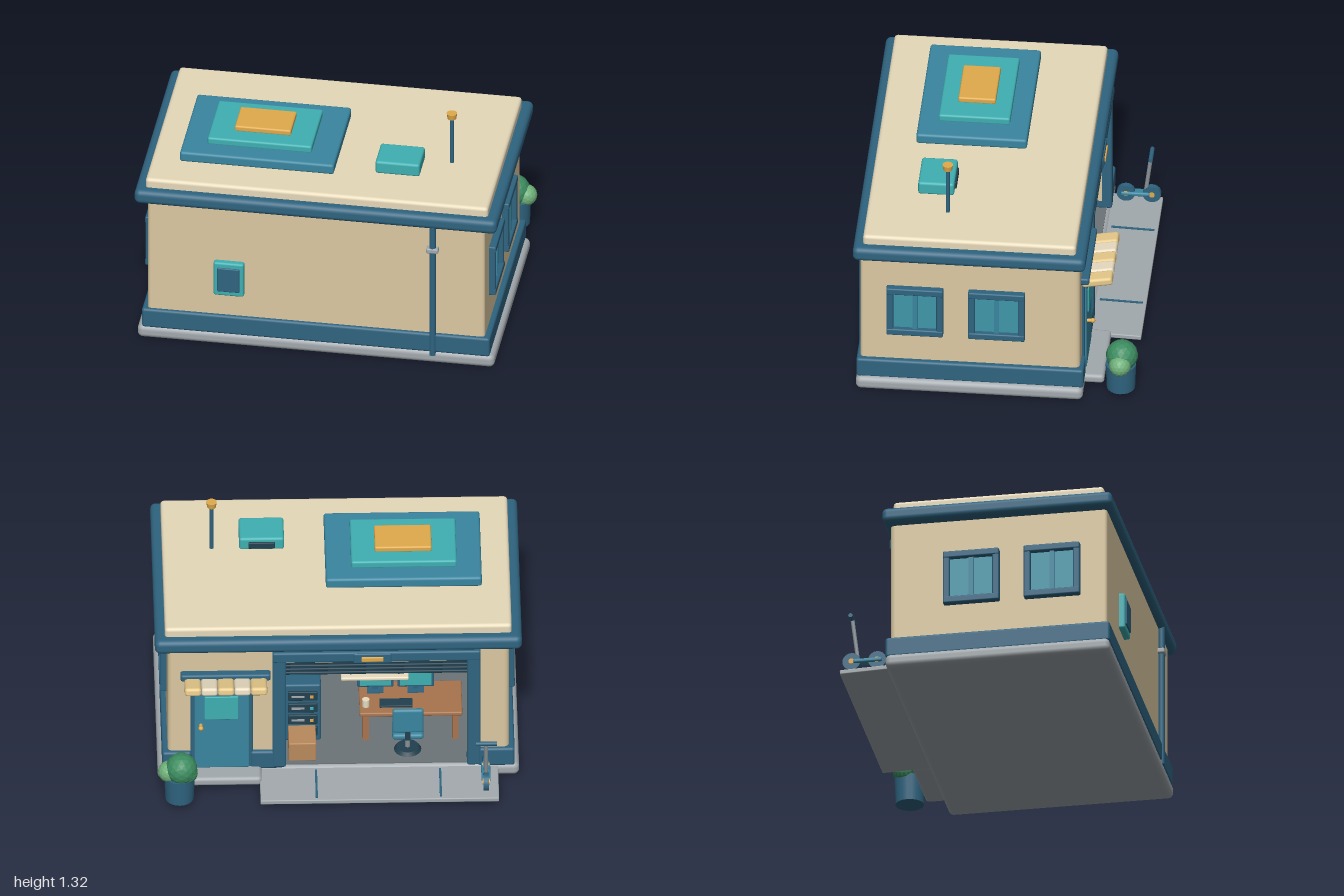
import * as THREE from 'three';
import { RoundedBoxGeometry } from 'three/addons/geometries/RoundedBoxGeometry.js';

const C = {
  wall: 0xdcc9a2, roof: 0xe6d9ba, navy: 0x2f6480, blue: 0x3a86a0, teal: 0x3fb0b2, glass: 0x4096aa,
  gold: 0xe0aa4c, cream: 0xe8dcc0, stripe: 0xe6c98a, grey: 0xa2a9ad, steel: 0x8a9297, dark: 0x22404f,
  wood: 0xa8744e, crate: 0xb98a5c, leaf: 0x3c8c60, leafLight: 0x6fb07a, floor: 0x6d7478, inner: 0xc6cac8,
};
const mats = {};
const mat = (color, flatShading = false) =>
  (mats[color + '|' + flatShading] ??= new THREE.MeshStandardMaterial({ color, flatShading }));

export function createModel() {
  const model = new THREE.Group();
  model.name = 'garageOffice';

  const add = (name, geo, color, pos = [0, 0, 0], parent = model, flat = false) => {
    const m = new THREE.Mesh(geo, mat(color, flat));
    m.name = name;
    m.position.set(...pos);
    parent.add(m);
    return m;
  };
  // Box given by its limits on each axis, with optional rounded edges
  const box = (name, color, x, y, z, r = 0, parent = model) => {
    const s = [x[1] - x[0], y[1] - y[0], z[1] - z[0]];
    const geo = r ? new RoundedBoxGeometry(...s, 3, Math.min(r, Math.min(...s) * 0.49)) : new THREE.BoxGeometry(...s);
    return add(name, geo, color, [(x[0] + x[1]) / 2, (y[0] + y[1]) / 2, (z[0] + z[1]) / 2], parent);
  };
  // Round bar between two points
  const bar = (name, color, a, b, r, parent = model, r2 = r) => {
    const p = new THREE.Vector3(...a), q = new THREE.Vector3(...b), d = q.clone().sub(p);
    const m = add(name, new THREE.CylinderGeometry(r2, r, d.length(), 20), color, p.clone().add(q).multiplyScalar(0.5).toArray(), parent);
    m.quaternion.setFromUnitVectors(new THREE.Vector3(0, 1, 0), d.normalize());
    return m;
  };
  const group = (name) => {
    const g = new THREE.Group();
    g.name = name;
    model.add(g);
    return g;
  };

  // Foundation and plinth
  box('foundation', C.grey, [-0.985, 0.985], [0, 0.078], [-0.485, 0.757], 0.03);
  box('interiorFloor', C.floor, [-0.9, 0.9], [0.07, 0.084], [-0.46, 0.7]);
  box('frontPlinth', C.navy, [-0.96, 0.96], [0.07, 0.187], [0.62, 0.755], 0.015);
  for (const s of [-1, 1]) {
    const x = s < 0 ? [-0.96, -0.87] : [0.87, 0.96];
    box('sidePlinth', C.navy, x, [0.07, 0.187], [-0.485, 0.65], 0.015);
  }
  for (const x of [[-0.96, -0.76], [0.3, 0.48], [0.8, 0.96]])
    box('backPlinth', C.navy, x, [0.07, 0.187], [-0.487, -0.4], 0.015);

  // Walls
  box('frontWall', C.wall, [-0.93, 0.93], [0.1, 0.89], [0.66, 0.735], 0.02);
  box('rightWall', C.wall, [0.86, 0.93], [0.1, 0.89], [-0.42, 0.72]);
  box('leftWall', C.wall, [-0.93, -0.86], [0.1, 0.89], [-0.42, 0.72]);
  box('cornerPillar', C.wall, [-0.93, -0.7], [0.1, 0.89], [-0.465, -0.38], 0.03);
  box('doorWall', C.wall, [0.29, 0.93], [0.1, 0.89], [-0.465, -0.38], 0.03);
  box('openingHeader', C.wall, [-0.72, 0.31], [0.78, 0.89], [-0.465, -0.38]);
  box('partition', C.inner, [0.3, 0.33], [0.08, 0.88], [-0.4, 0.67]);

  // Roof with stacked skylight
  box('roofBand', C.navy, [-1, 1], [0.868, 0.952], [-0.5, 0.772], 0.03);
  box('roofSlab', C.roof, [-0.945, 0.945], [0.93, 1.005], [-0.445, 0.72], 0.02);
  box('skylightLower', C.blue, [-0.79, 0.06], [1, 1.062], [-0.095, 0.51], 0.015);
  box('skylightMiddle', C.teal, [-0.655, -0.08], [1.055, 1.1], [0.01, 0.4], 0.012);
  box('skylightTop', C.gold, [-0.52, -0.21], [1.095, 1.13], [0.1, 0.305], 0.01);
  box('roofUnit', C.teal, [0.28, 0.525], [1, 1.078], [0.26, 0.457], 0.015);
  box('roofUnitGrille', C.dark, [0.33, 0.475], [1.015, 1.055], [0.25, 0.27], 0.005);
  bar('antennaMast', C.navy, [0.675, 1, 0.28], [0.675, 1.3, 0.28], 0.011);
  bar('antennaCap', C.gold, [0.675, 1.287, 0.28], [0.675, 1.32, 0.28], 0.024, model, 0.029);

  // Front service hatch and downpipe
  box('hatchFrame', C.teal, [-0.562, -0.395], [0.325, 0.535], [0.72, 0.768], 0.012);
  box('hatchPanel', C.navy, [-0.54, -0.418], [0.355, 0.505], [0.74, 0.776], 0.006);
  bar('downpipe', C.navy, [0.645, 0.055, 0.75], [0.645, 0.88, 0.75], 0.018);
  box('pipeBracket', C.grey, [0.612, 0.678], [0.715, 0.745], [0.725, 0.772], 0.008);

  // Side windows, two on each side
  for (const s of [-1, 1]) for (const zc of [0.435, -0.012]) {
    const g = group('sideWindow');
    const X = (a, b) => (s > 0 ? [a, b] : [-b, -a]);
    const z0 = zc - 0.155, z1 = zc + 0.155;
    box('windowGlass', C.glass, X(0.92, 0.94), [0.38, 0.66], [z0 + 0.02, z1 - 0.02], 0, g);
    for (const y of [[0.365, 0.405], [0.635, 0.675]]) box('windowRail', C.navy, X(0.92, 0.968), y, [z0, z1], 0.008, g);
    for (const z of [[z0, z0 + 0.037], [z1 - 0.037, z1]]) box('windowJamb', C.navy, X(0.92, 0.965), [0.367, 0.673], z, 0.008, g);
    box('windowMullion', C.blue, X(0.92, 0.953), [0.4, 0.64], [zc - 0.013, zc + 0.013], 0, g);
  }

  // Entrance door, awning and step
  box('doorFrame', C.navy, [0.465, 0.805], [0.08, 0.655], [-0.48, -0.44], 0.008);
  box('door', C.blue, [0.485, 0.785], [0.085, 0.64], [-0.49, -0.45], 0.008);
  box('doorWindow', C.teal, [0.545, 0.73], [0.42, 0.575], [-0.497, -0.47], 0.005);
  bar('doorKnobStem', C.gold, [0.75, 0.38, -0.48], [0.75, 0.38, -0.525], 0.01);
  add('doorKnob', new THREE.SphereGeometry(0.014, 16, 12), C.gold, [0.75, 0.38, -0.52]);
  box('awningRail', C.navy, [0.37, 0.86], [0.69, 0.732], [-0.51, -0.45], 0.012);
  for (let i = 0; i < 5; i++) {
    const x = 0.39 + i * 0.09;
    box('awningStripe', i % 2 ? C.cream : C.stripe, [x, x + 0.09], [0.67, 0.718], [-0.635, -0.465], 0.016).rotation.x = 0.18;
  }
  box('doorStep', C.grey, [0.42, 0.86], [0.035, 0.088], [-0.592, -0.46], 0.02);

  // Garage opening: posts, lintel, rolled shutter and sign plate
  for (const x of [[0.285, 0.36], [-0.775, -0.7]]) box('openingPost', C.navy, x, [0.08, 0.82], [-0.49, -0.4], 0.012);
  box('lintel', C.navy, [-0.775, 0.36], [0.8, 0.866], [-0.497, -0.4], 0.012);
  box('shutterBack', C.dark, [-0.71, 0.3], [0.69, 0.81], [-0.435, -0.415]);
  for (let i = 0; i < 5; i++) {
    const y = 0.685 + i * 0.024;
    box('shutterSlat', C.dark, [-0.71, 0.3], [y, y + 0.018], [-0.452, -0.41], 0.006);
  }
  box('signPlate', C.navy, [-0.29, -0.08], [0.795, 0.862], [-0.503, -0.46], 0.01);
  box('signInset', C.gold, [-0.245, -0.125], [0.812, 0.842], [-0.511, -0.48], 0.005);
  box('ceiling', C.dark, [-0.87, 0.87], [0.855, 0.872], [-0.4, 0.68]);
  box('ceilingLamp', C.cream, [-0.385, -0.015], [0.605, 0.627], [-0.41, -0.34], 0.008);
  for (const x of [-0.33, -0.07]) bar('lampHanger', C.navy, [x, 0.62, -0.375], [x, 0.86, -0.375], 0.004);

  // Ramp with expansion joints
  box('ramp', C.grey, [-0.87, 0.43], [0.035, 0.062], [-0.755, -0.44], 0.006).rotation.x = -0.035;
  for (const x of [-0.553, 0.123])
    box('rampJoint', C.navy, [x - 0.006, x + 0.006], [0.05, 0.067], [-0.735, -0.5]).rotation.x = -0.035;

  // Planter
  const planter = group('planter');
  bar('pot', C.navy, [0.87, 0.037, -0.685], [0.87, 0.19, -0.685], 0.078, planter, 0.084);
  for (const [x, y, z, r, c] of [[0.86, 0.238, -0.69, 0.088, C.leaf], [0.928, 0.215, -0.685, 0.06, C.leafLight], [0.83, 0.215, -0.7, 0.06, C.leaf]])
    add('foliage', new THREE.IcosahedronGeometry(r, 2), c, [x, y, z], planter, true);

  // Kick scooter
  const scooter = group('scooter');
  for (const z of [-0.558, -0.7]) {
    bar('scooterWheel', C.navy, [-0.815, 0.128, z], [-0.785, 0.128, z], 0.05, scooter);
    bar('wheelHub', C.gold, [-0.82, 0.128, z], [-0.78, 0.128, z], 0.016, scooter);
  }
  box('scooterDeck', C.blue, [-0.825, -0.775], [0.115, 0.14], [-0.69, -0.53], 0.01, scooter);
  bar('scooterStem', C.steel, [-0.8, 0.13, -0.665], [-0.8, 0.39, -0.697], 0.011, scooter);
  bar('scooterHandle', C.navy, [-0.86, 0.385, -0.697], [-0.745, 0.385, -0.697], 0.012, scooter);

  // Server rack and crate
  const rack = group('serverRack');
  box('rackCabinet', C.navy, [0.09, 0.29], [0.08, 0.46], [-0.25, -0.05], 0.012, rack);
  for (let i = 0; i < 4; i++) {
    const y = 0.12 + i * 0.08;
    box('rackUnit', C.dark, [0.11, 0.27], [y, y + 0.06], [-0.262, -0.24], 0.005, rack);
    box('rackLight', i % 2 ? C.gold : C.teal, [0.13, 0.15], [y + 0.022, y + 0.038], [-0.268, -0.25], 0, rack);
    box('rackLabel', C.grey, [0.18, 0.25], [y + 0.024, y + 0.036], [-0.266, -0.25], 0, rack);
  }
  box('crate', C.crate, [0.12, 0.27], [0.082, 0.2], [-0.435, -0.265], 0.006);

  // Desk with two monitors
  const desk = group('desk');
  box('deskTop', C.wood, [-0.68, -0.12], [0.25, 0.275], [-0.27, 0.02], 0.008, desk);
  for (const x of [-0.66, -0.17]) for (const z of [-0.26, -0.03])
    box('deskLeg', C.wood, [x, x + 0.035], [0.08, 0.255], [z, z + 0.035], 0, desk);
  for (const x of [-0.21, -0.43]) {
    box('monitor', C.navy, [x - 0.1, x + 0.1], [0.305, 0.44], [-0.075, -0.05], 0.008, desk);
    box('screen', C.teal, [x - 0.085, x + 0.085], [0.32, 0.425], [-0.08, -0.06], 0, desk);
    box('monitorStand', C.navy, [x - 0.015, x + 0.015], [0.27, 0.32], [-0.06, -0.04], 0, desk);
    box('monitorFoot', C.navy, [x - 0.045, x + 0.045], [0.272, 0.282], [-0.09, -0.02], 0, desk);
  }
  box('keyboard', C.dark, [-0.41, -0.23], [0.272, 0.287], [-0.22, -0.15], 0.004, desk);
  bar('mug', C.cream, [-0.155, 0.272, -0.2], [-0.155, 0.32, -0.2], 0.02, desk);
  box('wallNote', C.gold, [0, 0.07], [0.4, 0.425], [-0.04, -0.02], 0.005);

  // Office chair
  const chair = group('officeChair');
  bar('chairBase', C.dark, [-0.38, 0.084, -0.34], [-0.38, 0.104, -0.34], 0.075, chair, 0.06);
  bar('chairPost', C.steel, [-0.38, 0.1, -0.34], [-0.38, 0.2, -0.34], 0.014, chair);
  box('chairSeat', C.blue, [-0.465, -0.295], [0.195, 0.23], [-0.41, -0.27], 0.015, chair);
  box('chairBack', C.blue, [-0.465, -0.295], [0.255, 0.41], [-0.425, -0.395], 0.014, chair);
  box('chairSpine', C.dark, [-0.395, -0.365], [0.2, 0.3], [-0.42, -0.4], 0, chair);

  return model;
}
